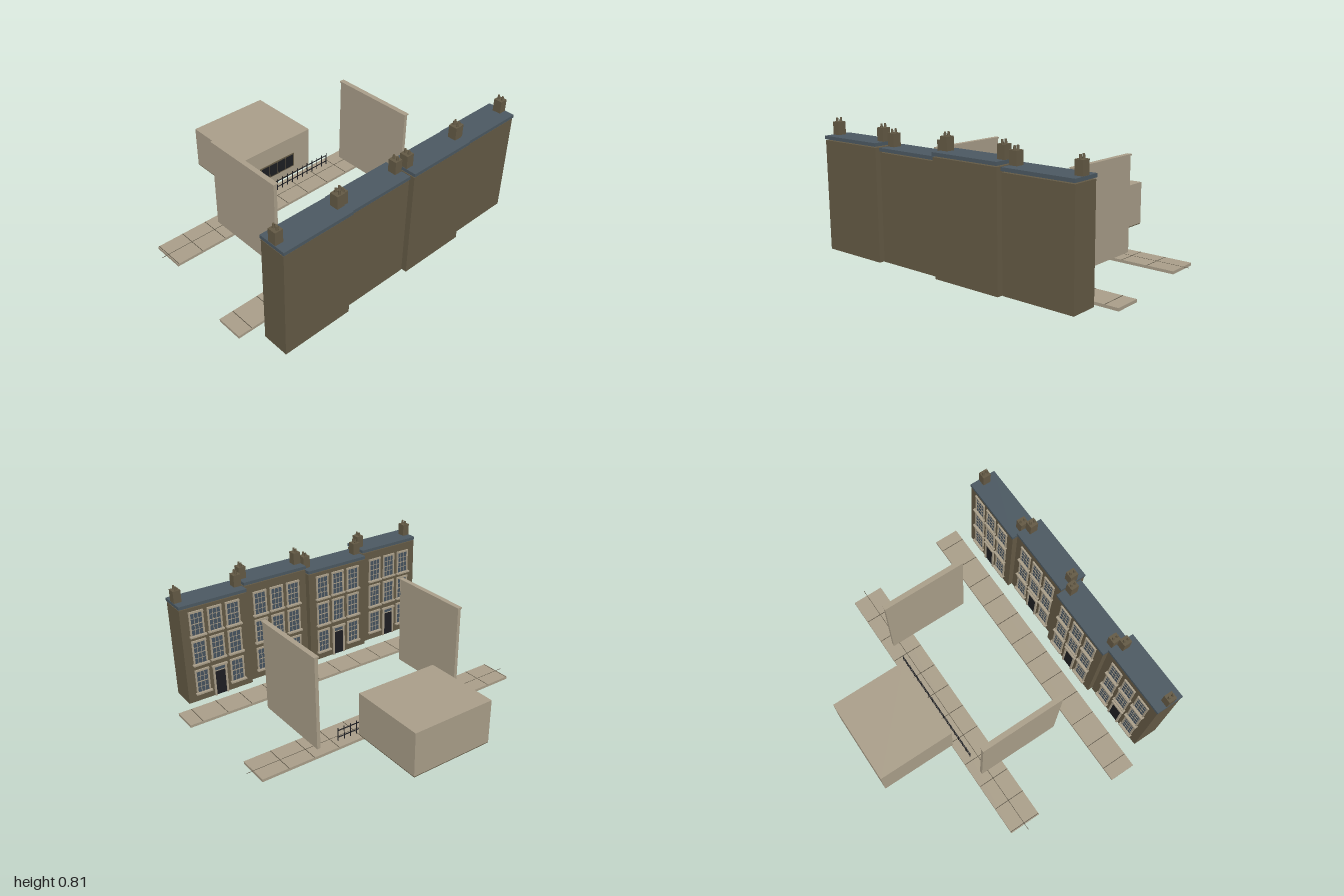
import * as THREE from 'three';

const mat = (name, color, extra = {}) => Object.assign(new THREE.MeshStandardMaterial({ color }), { name }, extra);

export function createModel() {
  const stone = mat('stone', 0xaa9f8a);
  const brick = mat('brick', 0x645a45);
  const slate = mat('slate', 0x4c5962);
  const glass = mat('glass', 0x46535f);
  const black = mat('black', 0x1d1e22);
  const joint = mat('joint', 0x5a5345);

  const root = new THREE.Group();
  root.name = 'terraceStreet';

  // Box given by its lower and upper limits on each axis
  function box(parent, name, m, x0, x1, y0, y1, z0, z1) {
    const mesh = new THREE.Mesh(new THREE.BoxGeometry(x1 - x0, y1 - y0, z1 - z0), m);
    mesh.position.set((x0 + x1) / 2, (y0 + y1) / 2, (z0 + z1) / 2);
    mesh.name = name;
    parent.add(mesh);
    return mesh;
  }
  function group(parent, name) {
    const g = new THREE.Group();
    g.name = name;
    parent.add(g);
    return g;
  }

  // Pavements with paving joints
  function pavement(name, x0, x1, half) {
    const g = group(root, name);
    box(g, 'slab', stone, x0, x1, 0, 0.017, -half, half);
    for (let i = 0; i < 12; i++) {
      const z = -0.918 + i * 0.1665;
      if (Math.abs(z) < half - 0.005) box(g, 'crossJoint', joint, x0, x1, 0.0165, 0.0178, z - 0.002, z + 0.002);
    }
    return g;
  }
  const near = pavement('widePavement', -0.32, -0.115, 0.92);
  box(near, 'longJoint', joint, -0.224, -0.221, 0.0165, 0.0178, -0.96, 0.96);
  pavement('terracePavement', 0.385, 0.55, 1);

  // Two free-standing walls with copings
  for (const z of [-0.52, 0.51]) {
    const g = group(root, 'crossWall');
    box(g, 'wall', stone, -0.265, 0.285, 0.018, 0.602, z - 0.011, z + 0.011);
    box(g, 'coping', stone, -0.27, 0.29, 0.602, 0.611, z - 0.016, z + 0.016);
  }

  // Block with a boarded underside and a barred window
  const block = group(root, 'block');
  box(block, 'blockBody', stone, -0.812, -0.316, 0.045, 0.322, -0.275, 0.27);
  for (let i = 0; i < 16; i++) {
    const x = -0.81 + i * 0.0307;
    box(block, 'underBoard', brick, x, x + 0.029, 0.038, 0.045, -0.273, 0.268);
  }
  box(block, 'windowBoard', brick, -0.316, -0.311, 0.1, 0.2, -0.14, 0.14);
  for (let i = 0; i < 4; i++) {
    const z = -0.132 + i * 0.067;
    box(block, 'windowPane', black, -0.311, -0.309, 0.108, 0.192, z, z + 0.06);
  }

  // Railing
  const railing = group(root, 'railing');
  for (const y of [0.04, 0.085]) box(railing, 'rail', black, -0.267, -0.263, y, y + 0.005, -0.39, 0.39);
  for (let i = 0; i <= 18; i++) {
    const z = -0.387 + i * 0.043;
    box(railing, 'bar', black, -0.267, -0.263, 0.017, 0.105, z - 0.002, z + 0.002);
  }

  // Sash window on the facade: xw is the wall face, looking towards -x
  function windowUnit(parent, xw, y, zc, out) {
    const g = group(parent, 'window');
    const w = 0.038, h = 0.145;
    box(g, 'glass', glass, xw - 0.003, xw, y, y + h, zc - w, zc + w);
    box(g, 'sill', stone, xw - out, xw, y - 0.01, y, zc - 0.054, zc + 0.054);
    box(g, 'lintel', stone, xw - 0.01, xw, y + h, y + h + 0.012, zc - 0.048, zc + 0.048);
    for (const s of [-1, 1]) {
      const c = zc + s * (w + 0.004);
      box(g, 'jamb', stone, xw - 0.008, xw, y, y + h, c - 0.005, c + 0.005);
    }
    for (const s of [-1, 1])
      box(g, 'bar', stone, xw - 0.005, xw, y, y + h, zc + s * 0.0127 - 0.0015, zc + s * 0.0127 + 0.0015);
    for (const k of [0.25, 0.5, 0.75]) {
      const t = k === 0.5 ? 0.0025 : 0.0013;
      box(g, 'crossBar', stone, xw - 0.005, xw, y + h * k - t, y + h * k + t, zc - w, zc + w);
    }
  }

  function doorway(parent, xw, zc) {
    const g = group(parent, 'doorway');
    box(g, 'door', black, xw - 0.004, xw, 0.018, 0.185, zc - 0.036, zc + 0.036);
    box(g, 'fanlight', glass, xw - 0.003, xw, 0.19, 0.218, zc - 0.036, zc + 0.036);
    box(g, 'transom', stone, xw - 0.006, xw, 0.185, 0.19, zc - 0.036, zc + 0.036);
    for (const s of [-1, 1]) {
      const c = zc + s * 0.041;
      box(g, 'post', stone, xw - 0.01, xw, 0.016, 0.218, c - 0.006, c + 0.006);
    }
    box(g, 'hood', stone, xw - 0.015, xw, 0.218, 0.23, zc - 0.052, zc + 0.052);
  }

  const potGeometry = new THREE.CylinderGeometry(0.006, 0.008, 0.024, 10);

  // Terrace house: dx and dy shift alternate houses forward and lower their roofs
  function house(zc, dx, dy) {
    const g = group(root, 'house');
    const xw = 0.64 + dx;
    box(g, 'walls', brick, xw, 0.805 + dx, 0.016, 0.679 + dy, zc - 0.2225, zc + 0.2225);
    box(g, 'roof', slate, 0.635 + dx, 0.81 + dx, 0.686 + dy, 0.706 + dy, zc - 0.225, zc + 0.225);
    // Storeys of three bays with the door in the middle
    [0.077, 0.277, 0.47].forEach((y, floor) => {
      for (const bay of [-1, 0, 1]) {
        if (floor === 0 && bay === 0) doorway(g, xw, zc);
        else windowUnit(g, xw, y, zc + bay * 0.121, bay ? 0.021 : 0.016);
      }
    });
    // Chimneys on both party walls
    for (const s of [-1, 1]) {
      const c = group(g, 'chimney'), cz = zc + s * 0.1985, cx = 0.722 + dx;
      box(c, 'stack', brick, cx - 0.026, cx + 0.026, 0.7 + dy, 0.783 + dy, cz - 0.0245, cz + 0.0245);
      for (const p of [-1, 1]) {
        const pot = new THREE.Mesh(potGeometry, brick);
        pot.name = 'chimneyPot';
        pot.position.set(cx + p * 0.013, 0.794 + dy, cz);
        c.add(pot);
      }
    }
  }
  [-0.675, -0.225, 0.225, 0.675].forEach((z, i) => (i % 2 ? house(z, 0, 0) : house(z, -0.03, -0.029)));

  return root;
}
